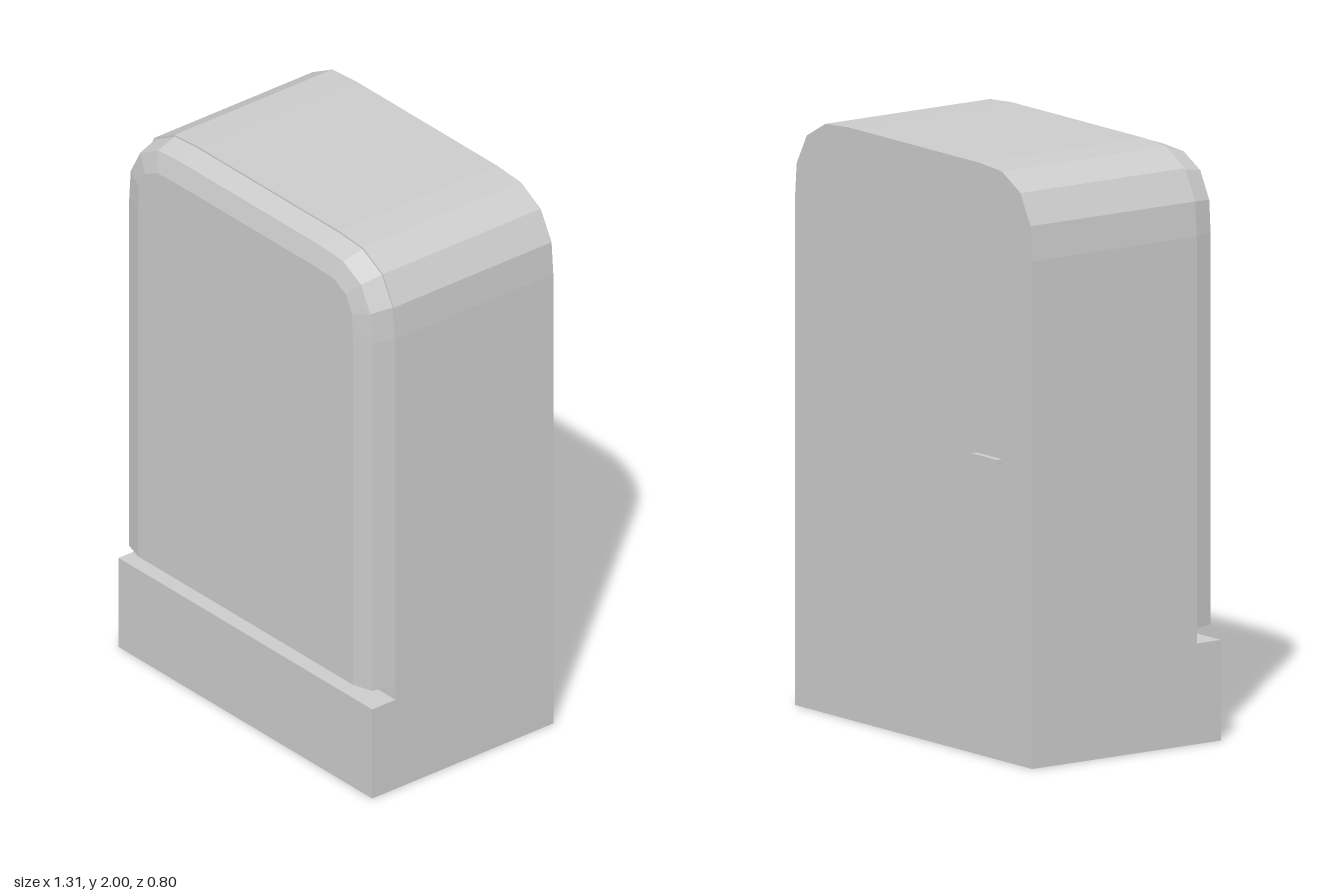
import * as THREE from 'three';

const HALF_WIDTH = 0.655, TOP = 2, BACK = -0.38, FRONT = 0.3;

// Faceted corner: distance in from the side, distance down from the top, outward normal
const CORNER = [
  [0, 0.285, 1, 0],
  [0.009, 0.168, 0.95, 0.3],
  [0.065, 0.065, 0.707, 0.707],
  [0.168, 0.009, 0.3, 0.95],
  [0.29, 0, 0, 1],
];

// Arched outline, anticlockwise from the bottom +x corner, shrunk by inset (bottom stays put)
function archOutline(bottom, inset) {
  const right = CORNER.map(([dx, dy, nx, ny]) =>
    new THREE.Vector2(HALF_WIDTH - dx - nx * inset, TOP - dy - ny * inset));
  right.unshift(new THREE.Vector2(HALF_WIDTH - inset, bottom));
  const left = right.map(p => new THREE.Vector2(-p.x, p.y)).reverse();
  return [...right, ...left];
}

// Loft matching outlines from back to front and cap both ends
function loft(rings) {
  const pos = [];
  const tri = (...pts) => pts.forEach(p => pos.push(p.x, p.y, p.z));
  const loops = rings.map(({ outline, z }) => outline.map(p => new THREE.Vector3(p.x, p.y, z)));
  const n = loops[0].length;
  for (let k = 0; k < loops.length - 1; k++) {
    const a = loops[k], b = loops[k + 1];
    for (let i = 0; i < n; i++) {
      const j = (i + 1) % n;
      tri(a[i], a[j], b[j]);
      tri(a[i], b[j], b[i]);
    }
  }
  const first = loops[0], last = loops[loops.length - 1];
  for (let i = 1; i < n - 1; i++) {
    tri(last[0], last[i], last[i + 1]);
    tri(first[0], first[i + 1], first[i]);
  }
  const geometry = new THREE.BufferGeometry();
  geometry.setAttribute('position', new THREE.Float32BufferAttribute(pos, 3));
  geometry.computeVertexNormals();
  return geometry;
}

export function createModel() {
  const group = new THREE.Group();
  const material = new THREE.MeshStandardMaterial({ color: 0xcccccc, flatShading: true });
  const add = (name, geometry, x = 0, y = 0, z = 0) => {
    const mesh = new THREE.Mesh(geometry, material);
    mesh.name = name;
    mesh.position.set(x, y, z);
    group.add(mesh);
  };

  // Arched cabinet
  const body = archOutline(0, 0);
  add('cabinet', loft([{ outline: body, z: BACK }, { outline: body, z: FRONT }]));

  // Plinth projecting below the front panel
  add('plinth', new THREE.BoxGeometry(HALF_WIDTH * 2, 0.34, 0.1), 0, 0.17, FRONT + 0.05);

  // Front panel with tapered sides and a shallow bevel, raised clear of the plinth
  add('frontPanel', loft([
    { outline: archOutline(0.39, 0.006), z: FRONT },
    { outline: archOutline(0.39, 0.028), z: 0.378 },
    { outline: archOutline(0.39, 0.1), z: 0.4 },
  ]));

  // Small bar handle on the back
  add('backHandle', new THREE.BoxGeometry(0.14, 0.022, 0.022), -0.42, 1.008, BACK - 0.01);

  return group;
}
